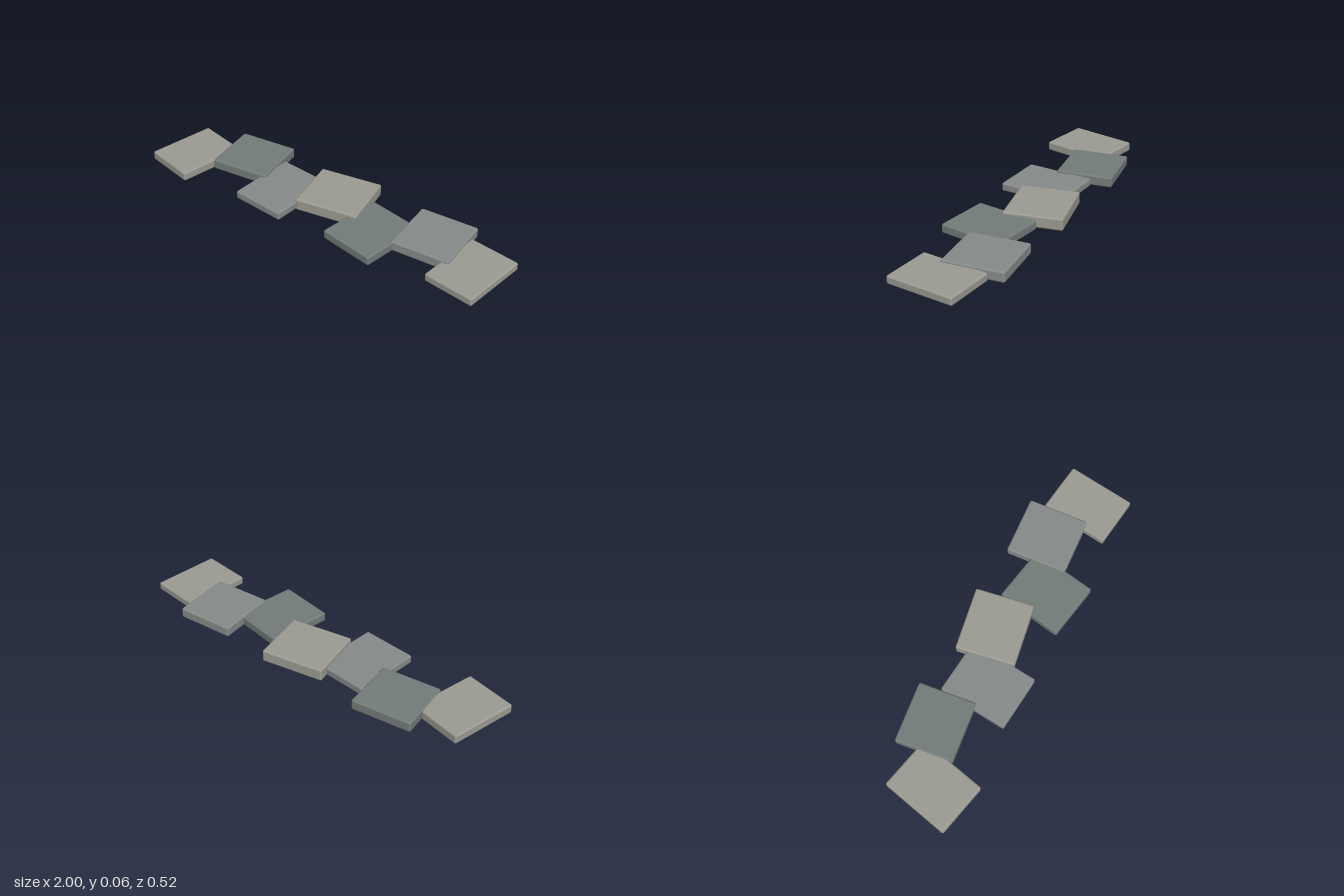
import * as THREE from 'three';
import { RoundedBoxGeometry } from 'three/addons/geometries/RoundedBoxGeometry.js';

export function createModel() {
  const group = new THREE.Group();
  group.name = 'steppingStonePath';

  // Three stone tones, repeated along the path
  const tones = [0x9c9c94, 0x747d7a, 0x878c8a].map(
    (color) => new THREE.MeshStandardMaterial({ color })
  );

  // Each slab: centre x, centre z, width, height, depth, turn about y
  const slabs = [
    [-0.83, 0.05, 0.28, 0.05, 0.362, -0.2],
    [-0.553, -0.096, 0.315, 0.057, 0.3, 0.135],
    [-0.262, 0.033, 0.292, 0.045, 0.365, -0.07],
    [0.013, -0.079, 0.333, 0.065, 0.307, 0.19],
    [0.305, 0.055, 0.3, 0.05, 0.346, -0.155],
    [0.58, -0.085, 0.308, 0.056, 0.317, 0.085],
    [0.845, 0.013, 0.27, 0.044, 0.36, -0.105],
  ];

  // Flat slabs with softened edges, all resting on the ground
  slabs.forEach(([x, z, width, height, depth, turn], i) => {
    const slab = new THREE.Mesh(
      new RoundedBoxGeometry(width, height, depth, 2, 0.01),
      tones[i % tones.length]
    );
    slab.name = `stoneSlab${i + 1}`;
    slab.position.set(x, height / 2, z);
    slab.rotation.y = turn;
    group.add(slab);
  });

  return group;
}
